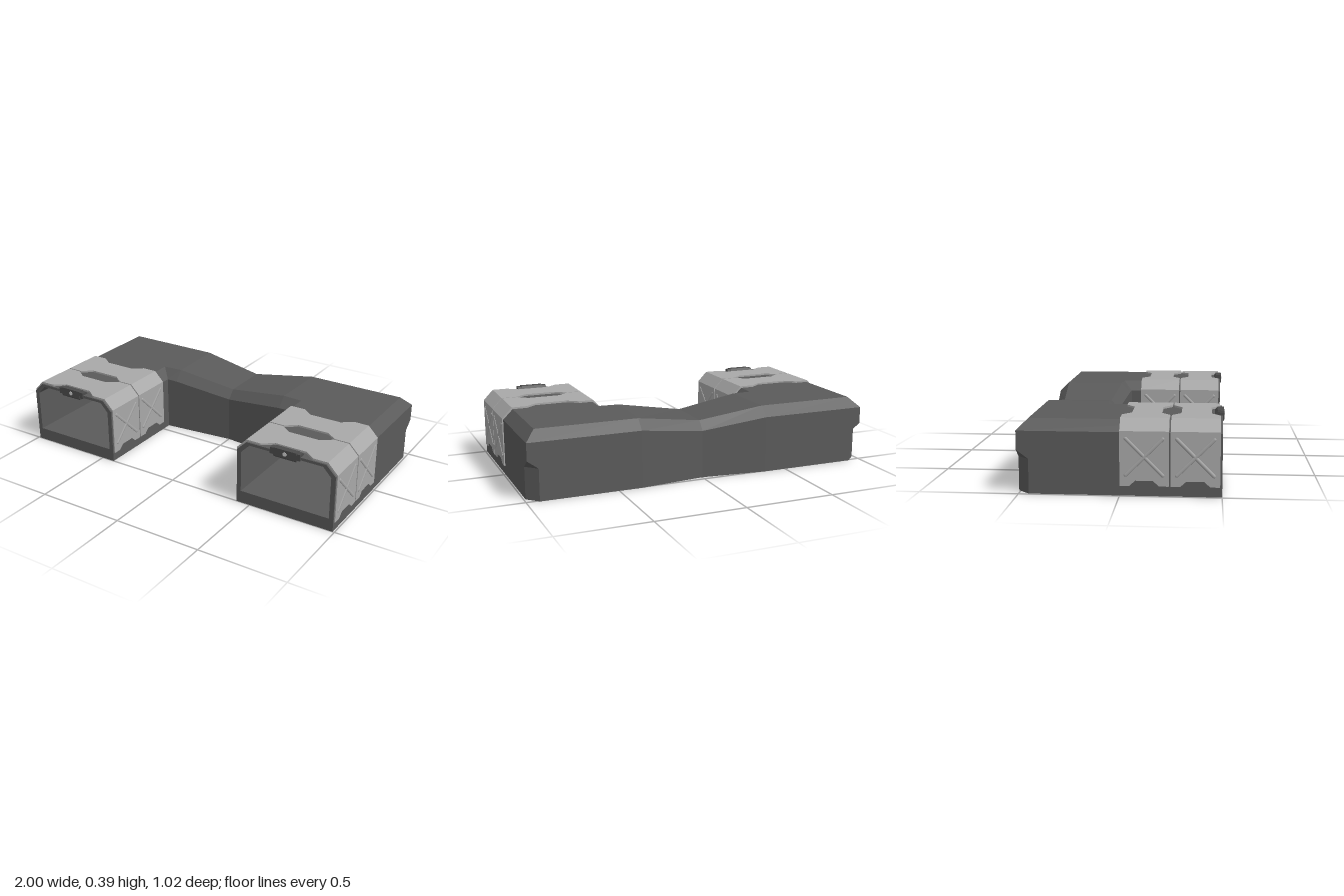
import * as THREE from 'three';

const mat = (name, color, side = THREE.FrontSide) => {
  const m = new THREE.MeshStandardMaterial({ color, side });
  m.name = name;
  return m;
};

// Collects convex flat faces; each is turned to face the given outward direction
function faceBuilder() {
  const pos = [];
  const face = (pts, out) => {
    for (const s of [1, -1]) { // left half and its mirror
      let p = pts.map(([x, y, z]) => new THREE.Vector3(x * s, y, z));
      const n = new THREE.Vector3();
      p.forEach((a, i) => n.add(a.clone().cross(p[(i + 1) % p.length])));
      if (n.dot(new THREE.Vector3(out[0] * s, out[1], out[2])) < 0) p.reverse();
      for (let i = 1; i < p.length - 1; i++)
        for (const v of [p[0], p[i], p[i + 1]]) pos.push(v.x, v.y, v.z);
    }
  };
  const build = () => {
    const g = new THREE.BufferGeometry();
    g.setAttribute('position', new THREE.Float32BufferAttribute(pos, 3));
    g.computeVertexNormals();
    return g;
  };
  return { face, build };
}

const toShape = pts => new THREE.Shape(pts.map(([x, y]) => new THREE.Vector2(x, y)));
const extrude = (pts, depth) =>
  new THREE.ExtrudeGeometry(toShape(pts), { depth, bevelEnabled: false });

function bunkerGeometry() {
  const { face, build } = faceBuilder();
  // Half outline: wall top edge (w) and roof edge (t), from front centre round to back centre
  const w = [[0, .265, -.10], [.36, .312, -.065], [.42, .315, -.06], [.42, .315, .5],
    [.99, .315, .5], [.99, .315, -.51], [.37, .315, -.51], [0, .265, -.47]];
  const t = [[0, .315, -.145], [.36, .37, -.118], [.475, .37, -.11], [.475, .37, .5],
    [.935, .37, .5], [.935, .37, -.455], [.37, .37, -.455], [0, .315, -.425]];
  const f = w.map(([x, , z]) => [x, 0, z]);
  const outs = [[0, 0, 1], [0, 0, 1], [-1, 0, 0], null, [1, 0, 0], [0, 0, -1], [0, 0, -1]];
  outs.forEach((o, i) => {
    if (!o) return;
    face([w[i], w[i + 1], t[i + 1], t[i]], [o[0], .5, o[2]]); // sloped roof edge
    if (i !== 4 && i !== 5) face([f[i], f[i + 1], w[i + 1], w[i]], o); // wall
  });

  // Roof
  for (const q of [[0, 1, 6, 7], [1, 2, 5, 6], [2, 3, 4, 5]]) face(q.map(i => t[i]), [0, 1, 0]);

  // Outer and back walls with the cut lower corner
  const a0 = [.99, 0, -.45], a1 = [.99, .175, -.45], b0 = [.93, 0, -.51], b1 = [.93, .175, -.51];
  const tip = [.99, .22, -.51];
  face([f[4], a0, a1, w[4]], [1, 0, 0]);
  face([a1, tip, w[5], w[4]], [1, 0, 0]);
  face([b0, f[6], w[6], b1], [0, 0, -1]);
  face([b1, w[6], w[5], tip], [0, 0, -1]);
  face([a0, b0, b1, a1], [1, 0, -1]);
  face([a1, b1, tip], [1, -1, -1]);

  // Underside
  face([f[0], f[1], f[6], f[7]], [0, -1, 0]);
  face([f[1], f[2], a0, b0, f[6]], [0, -1, 0]);
  face([f[2], f[3], f[4], a0], [0, -1, 0]);

  // Front frame and hollow bay
  const outer = [[.42, 0], [.42, .315], [.475, .37], [.935, .37], [.99, .315], [.99, 0]];
  const inner = [[.445, .07], [.445, .305], [.492, .355], [.918, .355], [.965, .305], [.965, .07]];
  const at = (p, z) => [p[0], p[1], z];
  outer.forEach((p, i) => {
    const j = (i + 1) % 6, a = inner[i], b = inner[j];
    face([at(p, .5), at(outer[j], .5), at(b, .5), at(a, .5)], [0, 0, 1]);
    face([at(a, .5), at(b, .5), at(b, -.03), at(a, -.03)],
      [.705 - (a[0] + b[0]) / 2, .21 - (a[1] + b[1]) / 2, 0]);
  });
  face(inner.map(p => at(p, -.03)), [0, 0, 1]);
  return build();
}

export function createModel() {
  const root = new THREE.Group();
  root.name = 'bunker';
  const wallMat = mat('dark concrete', 0x5a5a5a);
  const plateMat = mat('light armour', 0xa8a8a8);
  const trimMat = mat('dark trim', 0x4c4c4c);
  const lampMat = mat('pale lamp', 0xd0d0d0);
  const add = (parent, name, geo, material) => {
    const m = new THREE.Mesh(geo, material);
    m.name = name;
    parent.add(m);
    return m;
  };

  add(root, 'bunkerBody', bunkerGeometry(), wallMat);

  const H = .291; // half width of the cladding
  const bevel = [[H, .322], [.235, .38], [.225, .368], [H - .012, .312]];
  for (const side of [1, -1]) {
    const wing = new THREE.Group();
    wing.name = side > 0 ? 'leftWing' : 'rightWing';
    wing.position.x = side * .705;
    root.add(wing);

    for (const [z0, z1] of [[0, .241], [.249, .49]]) {
      const c = (z0 + z1) / 2;
      const panel = new THREE.Group();
      panel.name = 'armourPanel';
      wing.add(panel);

      // Roof plate, notched front and back
      const roof = [[-.235, z0], [-.15, z0], [-.09, z0 + .045], [.09, z0 + .045], [.15, z0], [.235, z0],
        [.235, z1], [.15, z1], [.09, z1 - .045], [-.09, z1 - .045], [-.15, z1], [-.235, z1]];
      add(panel, 'roofPlate', extrude(roof, .012).rotateX(Math.PI / 2).translate(0, .38, 0), plateMat);

      // Side plates with a notch at the foot
      const wall = [[z0, .05], [c - .073, .05], [c - .043, .077], [c + .043, .077],
        [c + .073, .05], [z1, .05], [z1, .322], [z0, .322]];
      for (const s of [1, -1]) {
        const x = s > 0 ? H : -H + .012;
        add(panel, 'sidePlate', extrude(wall, .012).rotateY(-Math.PI / 2).translate(x, 0, 0), plateMat);
        const slope = bevel.map(([bx, by]) => [bx * s, by]);
        add(panel, 'slopedPlate', extrude(slope, z1 - z0).translate(0, 0, z0), plateMat);
        // Crossed stiffening ribs
        for (const d of [1, -1]) {
          const rib = new THREE.CapsuleGeometry(.009, .255, 3, 8).scale(.45, 1, 1);
          rib.rotateX(d * Math.PI / 4).translate(s * H, .195, c);
          add(panel, 'crossRib', rib, plateMat);
        }
      }
    }

    // Lamp housing over the opening
    const profile = [[.508, .345], [.508, .39], [.475, .39], [.462, .376], [.462, .338], [.503, .338]];
    add(wing, 'lampHousing', extrude(profile, .13).rotateY(-Math.PI / 2).translate(.065, 0, 0), trimMat);
    const ends = [[.506, .35], [.506, .386], [.476, .386], [.464, .374], [.464, .35]];
    add(wing, 'housingEnds', extrude(ends, .174).rotateY(-Math.PI / 2).translate(.087, 0, 0), trimMat);
    add(wing, 'lamp', new THREE.CylinderGeometry(.011, .011, .004, 12)
      .rotateX(Math.PI / 2).translate(0, .367, .509), lampMat);
  }
  return root;
}
